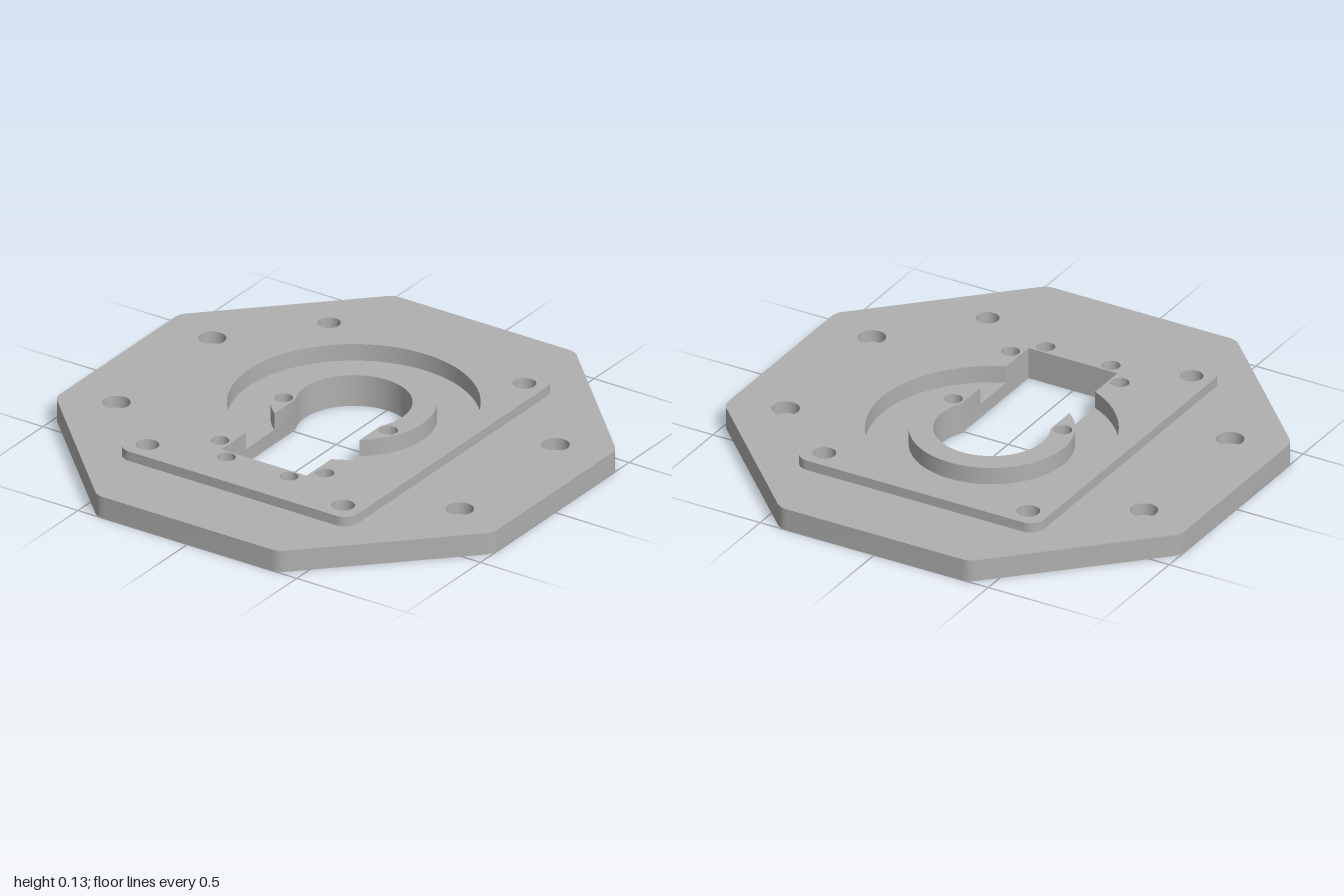
import * as THREE from 'three';
import { toCreasedNormals } from 'three/addons/utils/BufferGeometryUtils.js';

const SLAB = 0.09;      // top of the octagonal slab
const TOP = 0.13;       // top of the raised pad
const FLOOR = 0.06;     // bottom of the ring groove
const CENTRE_Z = -0.12; // centre of bore and groove
const SLOT_X = 0.195, SLOT_Z = 0.485;

const V = (x, z) => new THREE.Vector2(x, z);

function arc(cx, cz, r, from, to, n) {
  return Array.from({ length: n + 1 }, (_, i) => {
    const a = from + (to - from) * i / n;
    return V(cx + r * Math.cos(a), cz + r * Math.sin(a));
  });
}

const circle = (x, z, r) => arc(x, z, r, 0, Math.PI * 2, 32).slice(0, -1);

// arc around the bore, left open where the slot passes
function openArc(r) {
  const a = Math.acos(SLOT_X / r);
  return arc(0, CENTRE_Z, r, a, -Math.PI - a, 72);
}

// polygon with filleted corners
function rounded(corners, r, steps = 8) {
  const out = [];
  corners.forEach((p, i) => {
    const u = corners.at(i - 1).clone().sub(p).normalize();
    const v = corners[(i + 1) % corners.length].clone().sub(p).normalize();
    const k = r / Math.abs(u.cross(v)), t = k * (1 + u.dot(v));
    const c = p.clone().addScaledVector(u, k).addScaledVector(v, k);
    const a = p.clone().addScaledVector(u, t).sub(c);
    const b = p.clone().addScaledVector(v, t).sub(c);
    for (let s = 0; s <= steps; s++) {
      out.push(a.clone().lerp(b, s / steps).setLength(r).add(c));
    }
  });
  return out;
}

// flat horizontal face with holes
function cap(outline, holes, y, up = true) {
  const map = pts => pts.map(p => V(p.x, up ? -p.y : p.y));
  const shape = new THREE.Shape(map(outline));
  shape.holes = holes.map(h => new THREE.Path(map(h)));
  return new THREE.ShapeGeometry(shape).rotateX(up ? -Math.PI / 2 : Math.PI / 2).translate(0, y, 0);
}

// vertical wall along a closed outline
function wall(pts, y0, y1) {
  const pos = [];
  pts.forEach((a, i) => {
    const b = pts[(i + 1) % pts.length];
    pos.push(a.x, y0, a.y, a.x, y1, a.y, b.x, y1, b.y);
    pos.push(a.x, y0, a.y, b.x, y1, b.y, b.x, y0, b.y);
  });
  const g = new THREE.BufferGeometry();
  g.setAttribute('position', new THREE.Float32BufferAttribute(pos, 3));
  return toCreasedNormals(g, 0.5);
}

export function createModel() {
  const model = new THREE.Group();
  model.name = 'mountingPlate';
  const grey = new THREE.MeshStandardMaterial({ color: 0xb0b0b0, side: THREE.DoubleSide });
  grey.name = 'plainGrey';
  const add = (name, geometry, parent = model) => {
    const mesh = new THREE.Mesh(geometry, grey);
    mesh.name = name;
    parent.add(mesh);
  };

  // outlines
  const e = Math.SQRT2 - 1;
  const octagon = rounded([V(e, 1), V(1, e), V(1, -e), V(e, -1), V(-e, -1), V(-1, -e), V(-1, e), V(-e, 1)], 0.07);
  const pad = rounded([V(0.533, 0.697), V(0.533, -0.697), V(-0.533, -0.697), V(-0.533, 0.697)], 0.06);
  const slotEnd = [V(-SLOT_X, SLOT_Z), V(SLOT_X, SLOT_Z)];
  const keyhole = [...openArc(0.222), ...slotEnd];
  const opening = [...openArc(0.48), ...slotEnd];
  const ring = [...openArc(0.315), ...openArc(0.222).reverse()];
  const groove = [...openArc(0.48), ...openArc(0.315).reverse()];

  // counterbored screw holes: position, head radius, shank radius, top, on which face
  const screws = [];
  for (const s of [-1, 1]) {
    for (const z of [-0.322, 0.322]) screws.push({ x: s * 0.785, z, R: 0.054, r: 0.031, top: SLAB, on: 'slab' });
    for (const z of [-0.61, 0.61]) screws.push({ x: s * 0.447, z, R: 0.045, r: 0.027, top: TOP, on: 'pad' });
    screws.push({ x: s * 0.24, z: 0, R: 0.036, r: 0.023, top: TOP, on: 'ring' });
    screws.push({ x: s * 0.24, z: 0.428, R: 0.036, r: 0.023, top: TOP, on: 'pad' });
    screws.push({ x: s * 0.143, z: 0.527, R: 0.036, r: 0.023, top: TOP, on: 'pad' });
  }
  const heads = on => screws.filter(s => s.on === on).map(s => circle(s.x, s.z, s.R));

  // octagonal slab
  add('slabBottom', cap(octagon, [keyhole, ...screws.map(s => circle(s.x, s.z, s.r))], 0, false));
  add('slabEdge', wall(octagon, 0, SLAB));
  add('slabTop', cap(octagon, [pad, ...heads('slab')], SLAB));

  // raised pad
  add('padEdge', wall(pad, SLAB, TOP));
  add('padTop', cap(pad, [opening, ...heads('pad')], TOP));

  // keyhole, groove and the collar standing between them
  add('keyholeWall', wall(keyhole, 0, FLOOR));
  add('grooveWall', wall(opening, FLOOR, TOP));
  add('grooveFloor', cap(groove, [], FLOOR));
  add('collarWall', wall(ring, FLOOR, TOP));
  add('collarTop', cap(ring, heads('ring'), TOP));

  // screw holes
  for (const s of screws) {
    const hole = new THREE.Group();
    hole.name = 'screwHole';
    model.add(hole);
    const head = circle(s.x, s.z, s.R), shank = circle(s.x, s.z, s.r), seat = s.top - 0.05;
    add('counterbore', wall(head, seat, s.top), hole);
    add('seat', cap(head, [shank], seat), hole);
    add('shank', wall(shank, 0, seat), hole);
  }
  return model;
}
